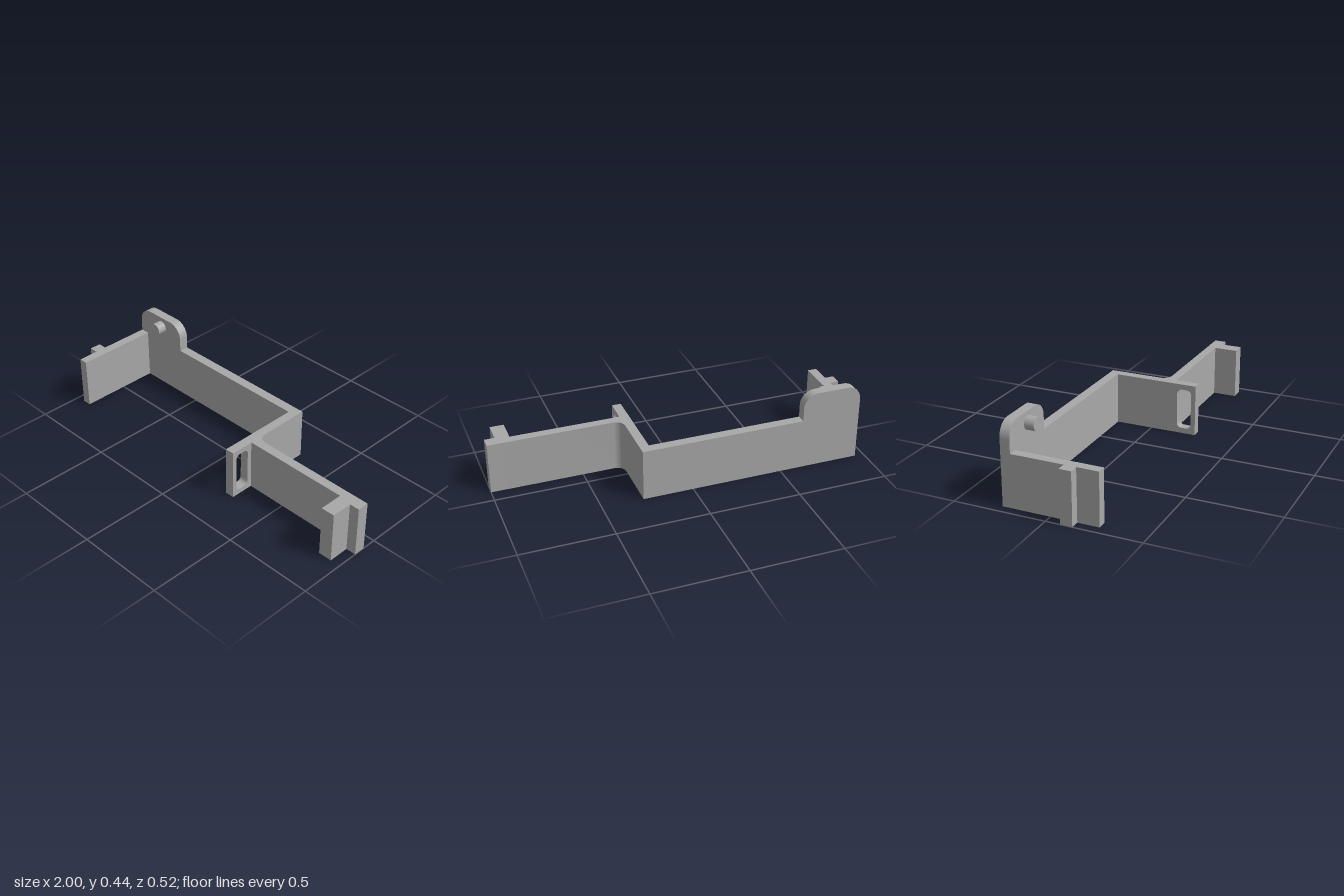
import * as THREE from 'three';
import { toCreasedNormals } from 'three/addons/utils/BufferGeometryUtils.js';

const H = 0.284; // height of the strip
const FRONT = 0.258, BACK = -0.258;

export function createModel() {
  const group = new THREE.Group();
  group.name = 'bracket';
  const grey = new THREE.MeshStandardMaterial({ color: 0xa8a8a8 });
  grey.name = 'grey';

  const add = (name, geometry) => {
    const mesh = new THREE.Mesh(geometry, grey);
    mesh.name = name;
    group.add(mesh);
    return mesh;
  };
  const extrude = (shape, depth) => toCreasedNormals(
    new THREE.ExtrudeGeometry(shape, { depth, bevelEnabled: false, curveSegments: 12 }), 0.5);

  // Folded strip: plan outline (shape y = -z) raised to full height
  const plan = new THREE.Shape();
  const outline = [
    [-0.95, BACK], [-0.95, 0.078], [-1, 0.078], [-1, 0.142], [-0.95, 0.142],
    [-0.95, FRONT], [-0.9, FRONT], [-0.9, -0.205], [0.225, -0.205],
    [0.225, 0.127], [0.87, 0.127], [0.87, FRONT], [0.945, FRONT],
    [0.945, 0.142], [1, 0.142], [1, 0.078], [0.325, 0.078],
  ];
  outline.forEach(([x, z], i) => (i ? plan.lineTo(x, -z) : plan.moveTo(x, -z)));
  plan.absarc(0.325, -0.028, 0.05, -Math.PI / 2, -Math.PI, true); // inner fillet
  plan.lineTo(0.275, -BACK);
  plan.closePath();
  add('foldedStrip', extrude(plan, H).rotateX(-Math.PI / 2));

  // Slotted tab in front of the step (shape x = -z)
  const tab = new THREE.Shape();
  tab.moveTo(-FRONT, 0);
  tab.lineTo(-0.127, 0);
  tab.lineTo(-0.127, H);
  tab.lineTo(-FRONT, H);
  tab.closePath();
  const slot = new THREE.Path();
  const a = -0.233, b = -0.152, y0 = 0.03, y1 = 0.254, r = 0.025;
  slot.absarc(a + r, y0 + r, r, -Math.PI / 2, -Math.PI, true);
  slot.absarc(a + r, y1 - r, r, Math.PI, Math.PI / 2, true);
  slot.absarc(b - r, y1 - r, r, Math.PI / 2, 0, true);
  slot.absarc(b - r, y0 + r, r, 0, -Math.PI / 2, true);
  slot.closePath();
  tab.holes.push(slot);
  add('slottedTab', extrude(tab, 0.05).rotateY(Math.PI / 2)).position.x = 0.225;

  // Rounded ear standing on the back wall
  const ear = new THREE.Shape();
  const top = 0.437, R = 0.08;
  ear.moveTo(-0.95, H);
  ear.lineTo(-0.62, H);
  ear.absarc(-0.62 - R, top - R, R, 0, Math.PI / 2, false);
  ear.absarc(-0.95 + R, top - R, R, Math.PI / 2, Math.PI, false);
  ear.closePath();
  add('ear', extrude(ear, 0.053)).position.z = BACK;

  // Pin on the front of the ear
  const pin = add('pin', new THREE.CylinderGeometry(0.036, 0.036, 0.053, 32).rotateX(Math.PI / 2));
  pin.position.set(-0.775, 0.378, -0.1795);

  return group;
}
